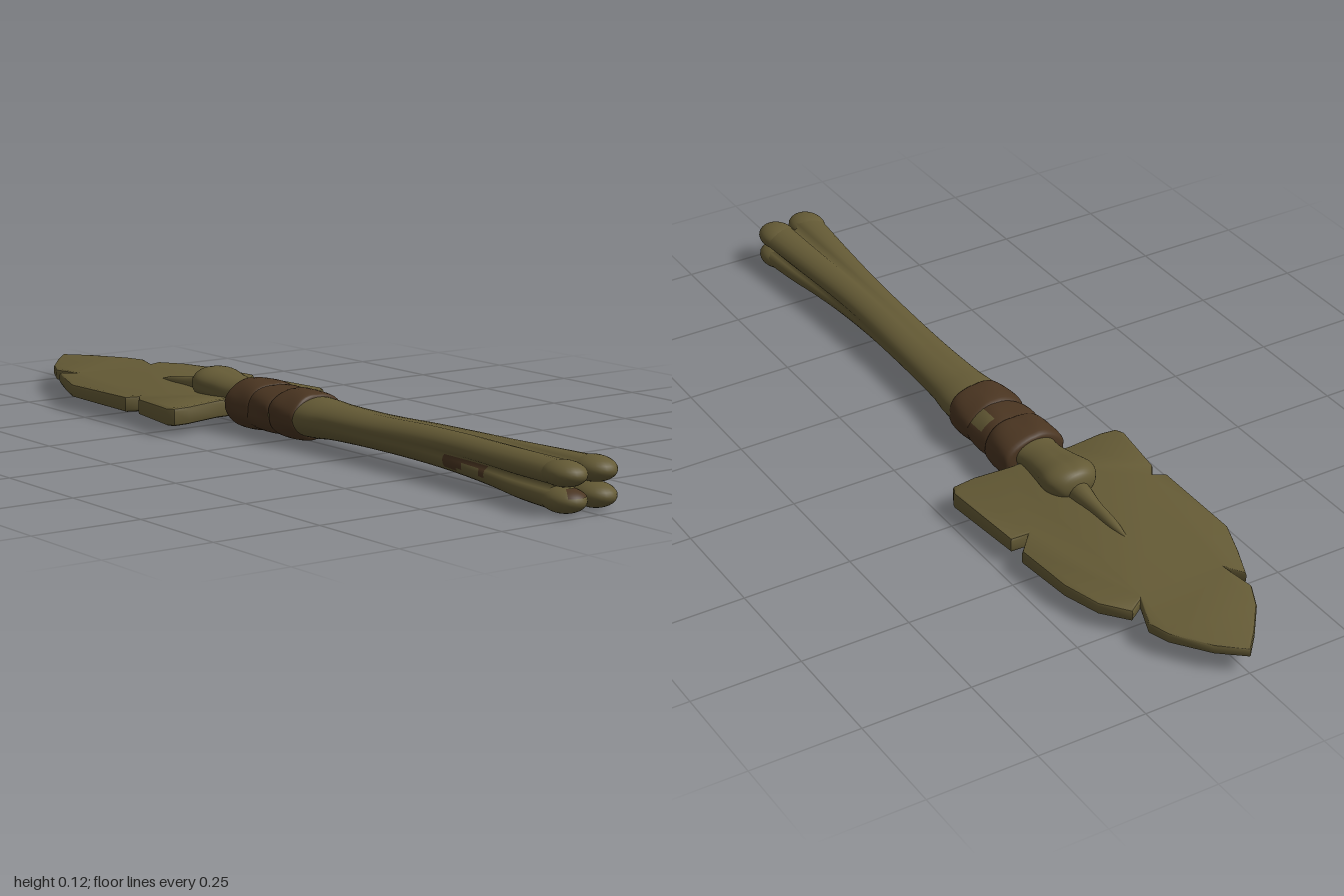
import * as THREE from 'three';
import { toCreasedNormals } from 'three/addons/utils/BufferGeometryUtils.js';

const bone = new THREE.MeshStandardMaterial({ color: 0x645a35 });
bone.name = 'agedBone';
const leather = new THREE.MeshStandardMaterial({ color: 0x4a3521 });
leather.name = 'brownLeather';

// smooth value between rows of [x, centreY, radiusY, radiusZ, groove]
function sample(rows, t) {
  const s = t * (rows.length - 1);
  const i = Math.min(Math.floor(s), rows.length - 2);
  const f = s - i;
  const at = (k) => rows[THREE.MathUtils.clamp(k, 0, rows.length - 1)];
  return rows[0].map((_, c) => {
    const [a, b, d, e] = [at(i - 1)[c], at(i)[c], at(i + 1)[c], at(i + 2)[c]];
    return b + 0.5 * f * (d - a + f * (2 * a - 5 * b + 4 * d - e + f * (3 * (b - d) + e - a)));
  });
}

// rings of cross-sections along x; groove 0 is an ellipse, 1 is four touching rods
function loft(rows, { steps = 6, sides = 40, tilt = 0, wobble = 0, patch = () => false } = {}) {
  const pos = [];
  const plain = [];
  const painted = [];
  const rings = (rows.length - 1) * steps;
  for (let i = 0; i <= rings; i++) {
    const [x, cy, ry, rz, groove] = sample(rows, i / rings);
    for (let j = 0; j < sides; j++) {
      const a = (j / sides) * Math.PI * 2;
      const k = Math.abs(Math.cos(a)) + Math.abs(Math.sin(a));
      const rods = 0.5 * (k + Math.sqrt(Math.max(0, k * k - 1)));
      const r = (1 + groove * (rods - 1)) * (1 + wobble * Math.sin(a * 5 + x * 30));
      const z = Math.cos(a) * r * rz;
      pos.push(x + tilt * z, cy + Math.sin(a) * r * ry, z);
      if (i === rings) continue;
      const p = i * sides + j;
      const q = i * sides + ((j + 1) % sides);
      (patch(x, a) ? painted : plain).push(p, p + sides, q, q, p + sides, q + sides);
    }
  }
  const g = new THREE.BufferGeometry();
  g.setAttribute('position', new THREE.Float32BufferAttribute(pos, 3));
  g.setIndex([...plain, ...painted]);
  g.addGroup(0, plain.length, 0);
  g.addGroup(plain.length, painted.length, 1);
  g.computeVertexNormals();
  return g;
}

function bladeGeometry() {
  // leaf outline with chipped edges, as x and z
  const outline = [
    [-1, 0], [-0.95, -0.055], [-0.87, -0.11], [-0.82, -0.125], [-0.745, -0.095],
    [-0.77, -0.13], [-0.71, -0.175], [-0.62, -0.2], [-0.475, -0.212], [-0.43, -0.17],
    [-0.428, -0.21], [-0.22, -0.227], [-0.197, -0.215], [-0.192, -0.16], [-0.2, -0.08],
    [-0.2, 0.08], [-0.187, 0.17], [-0.19, 0.208], [-0.21, 0.218], [-0.35, 0.2],
    [-0.378, 0.18], [-0.392, 0.208], [-0.62, 0.21], [-0.7, 0.18], [-0.78, 0.145],
    [-0.745, 0.118], [-0.82, 0.13], [-0.88, 0.1], [-0.95, 0.045],
  ];
  const shape = new THREE.Shape(outline.map(([x, z]) => new THREE.Vector2(x, z)));
  const g = new THREE.ExtrudeGeometry(shape, {
    depth: 0.022, bevelThickness: 0.008, bevelSize: 0.007, bevelOffset: -0.007, bevelSegments: 2,
  });
  g.rotateX(Math.PI / 2);
  // thin out and lift toward the tip
  const p = g.attributes.position;
  for (let i = 0; i < p.count; i++) {
    const t = THREE.MathUtils.clamp((p.getX(i) + 1) / 0.8, 0, 1);
    const arch = 0.008 * (1 - Math.abs(p.getZ(i)) / 0.22);
    const thickness = THREE.MathUtils.lerp(0.55, 1.1, t);
    p.setY(i, (p.getY(i) + 0.011) * thickness + THREE.MathUtils.lerp(0.049, 0.048, t) + arch);
  }
  return toCreasedNormals(g, 0.7);
}

export function createModel() {
  const model = new THREE.Group();
  const add = (name, geometry, material, parent = model) => {
    const m = new THREE.Mesh(geometry, material);
    m.name = name;
    parent.add(m);
    return m;
  };

  add('blade', bladeGeometry(), bone);

  // raised spine running out of the bone onto the blade
  add('bladeSpine', loft([
    [-0.56, 0.066, 0, 0, 0], [-0.5, 0.068, 0.012, 0.012, 0], [-0.43, 0.07, 0.018, 0.016, 0],
    [-0.36, 0.074, 0.026, 0.026, 0], [-0.3, 0.075, 0.02, 0.02, 0],
  ], { sides: 16 }), [bone, leather]);

  // rounded bone end lying over the blade
  add('boneHead', loft([
    [-0.372, 0.086, 0, 0, 0], [-0.36, 0.088, 0.03, 0.042, 0], [-0.325, 0.09, 0.037, 0.064, 0.1],
    [-0.27, 0.084, 0.035, 0.056, 0.1], [-0.21, 0.08, 0.031, 0.05, 0], [-0.15, 0.075, 0.036, 0.06, 0],
  ]), [bone, leather]);

  // handle, splitting into four rods toward the end, with a worn strip on the front
  add('handle', loft([
    [-0.16, 0.068, 0.04, 0.06, 0], [0.06, 0.066, 0.045, 0.073, 0], [0.16, 0.067, 0.04, 0.064, 0.05],
    [0.3, 0.068, 0.038, 0.059, 0.1], [0.46, 0.07, 0.041, 0.058, 0.15], [0.6, 0.069, 0.044, 0.061, 0.3],
    [0.72, 0.066, 0.047, 0.068, 0.5], [0.82, 0.062, 0.051, 0.075, 0.7], [0.945, 0.061, 0.052, 0.084, 0.9],
  ], {
    patch: (x, a) => {
      const low = 2 * Math.PI - a;
      return x > 0.56 && x < 0.72 && low > 0.1 && low < 0.45 + 0.25 * Math.sin(x * 45);
    },
  }), [bone, leather]);

  // four rounded knuckles closing the rods
  const knuckles = new THREE.Group();
  knuckles.name = 'knuckles';
  model.add(knuckles);
  for (const y of [-1, 1]) {
    for (const z of [-1, 1]) {
      const place = (m, s) => {
        m.position.set(z > 0 ? 0.942 : 0.935, 0.061 + y * 0.0265, z * 0.0425);
        m.scale.set(0.053 * s, 0.027 * s, 0.043 * s);
      };
      place(add('knuckle', new THREE.SphereGeometry(1, 24, 16), bone, knuckles), 1);
      if (y < 0 && z > 0) {
        place(add('wornSpot', new THREE.SphereGeometry(1, 12, 8, 2.5, 1.3, 0.4, 0.8), leather, knuckles), 1.03);
      }
    }
  }

  // overlapping leather bands binding blade and handle, with bone showing through on top
  const binding = new THREE.Group();
  binding.name = 'binding';
  model.add(binding);
  const bands = [
    [-0.14, 0.1, 0.066, 0.058, 0.084, 0.05],
    [-0.06, 0.095, 0.064, 0.055, 0.079, -0.1],
    [0.022, 0.1, 0.066, 0.056, 0.081, 0.08],
  ];
  for (const [x, w, cy, ry, rz, tilt] of bands) {
    const rows = [[-0.5, 0.6], [-0.47, 0.89], [-0.3, 0.98], [0, 1.0], [0.3, 0.97], [0.47, 0.88], [0.5, 0.6]]
      .map(([u, k]) => [x + u * w, cy, ry * k, rz * k, 0.06]);
    add('leatherBand', loft(rows, {
      steps: 3, tilt, wobble: 0.02,
      patch: (px, a) => px > -0.085 && px < -0.03 && a > 1.9 && a < 2.6,
    }), [leather, bone], binding);
  }

  return model;
}
